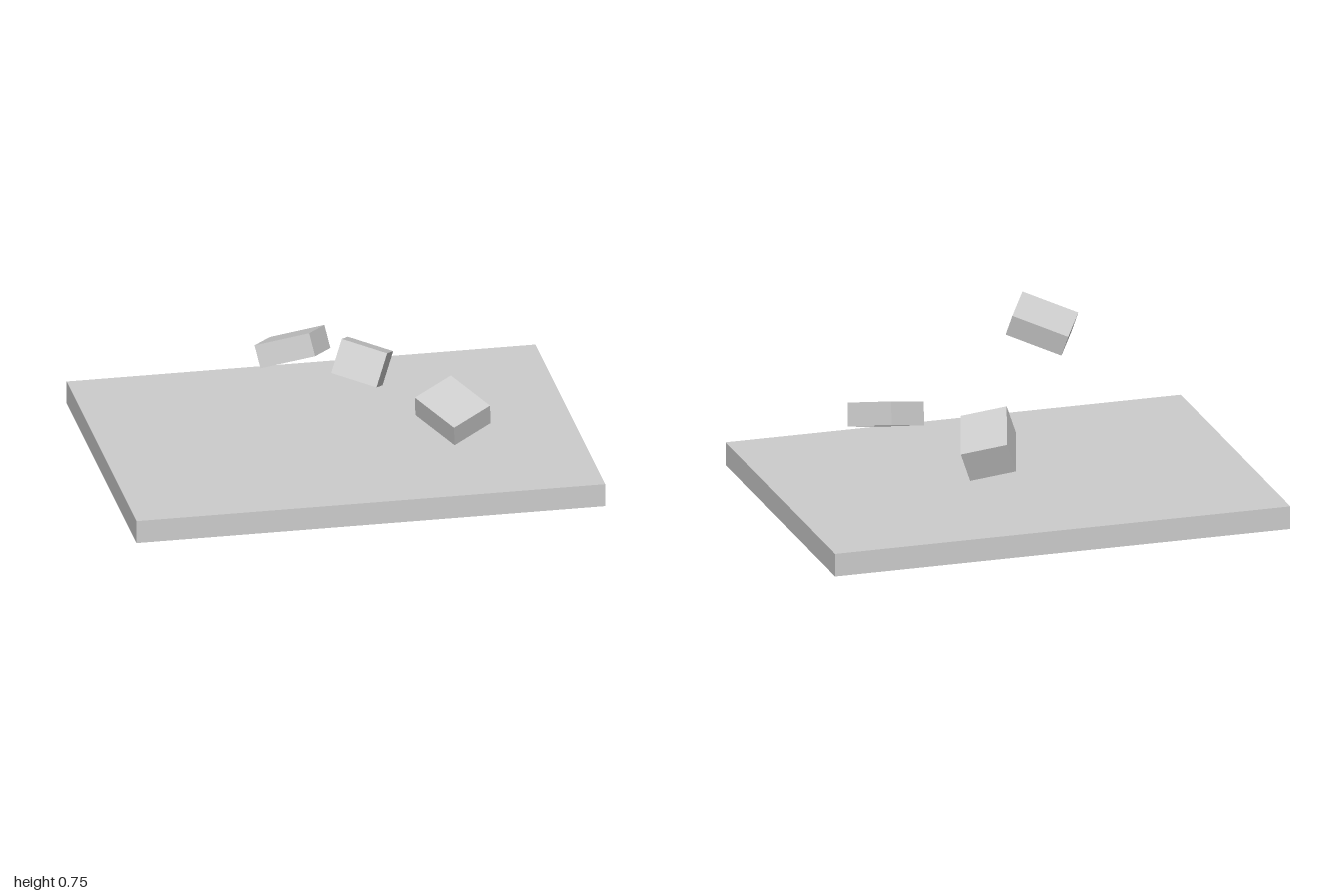
import * as THREE from 'three';

export function createModel() {
  const group = new THREE.Group();
  const grey = new THREE.MeshStandardMaterial({ color: 0xcccccc });
  grey.name = 'light grey';

  const addBox = (name, size, centre) => {
    const mesh = new THREE.Mesh(new THREE.BoxGeometry(...size), grey);
    mesh.name = name;
    mesh.position.set(...centre);
    group.add(mesh);
    return mesh;
  };

  // Flat slab that everything hovers over
  addBox('groundSlab', [2, 0.1, 1.5], [0, 0.05, 0]);

  // Tumbling blocks: size, centre, and directions of the local x and y edges
  const blocks = [
    ['highBlock', [0.25, 0.1, 0.2], [-0.246, 0.642, 0.302], [0.209, 0.08, 0.102], [-0.016, 0.091, -0.032]],
    ['middleBlock', [0.2, 0.15, 0.25], [0.153, 0.321, -0.209], [0.176, -0.048, 0.075], [0.0535, 0.1337, -0.0375]],
    ['sideBlock', [0.2, 0.1, 0.25], [0.433, 0.305, 0.327], [0.171, 0.048, -0.09], [-0.0107, 0.091, 0.033]],
  ];
  for (const [name, size, centre, xDir, yDir] of blocks) {
    const x = new THREE.Vector3(...xDir).normalize();
    const z = x.clone().cross(new THREE.Vector3(...yDir)).normalize();
    const y = z.clone().cross(x);
    addBox(name, size, centre).quaternion.setFromRotationMatrix(new THREE.Matrix4().makeBasis(x, y, z));
  }
  return group;
}
